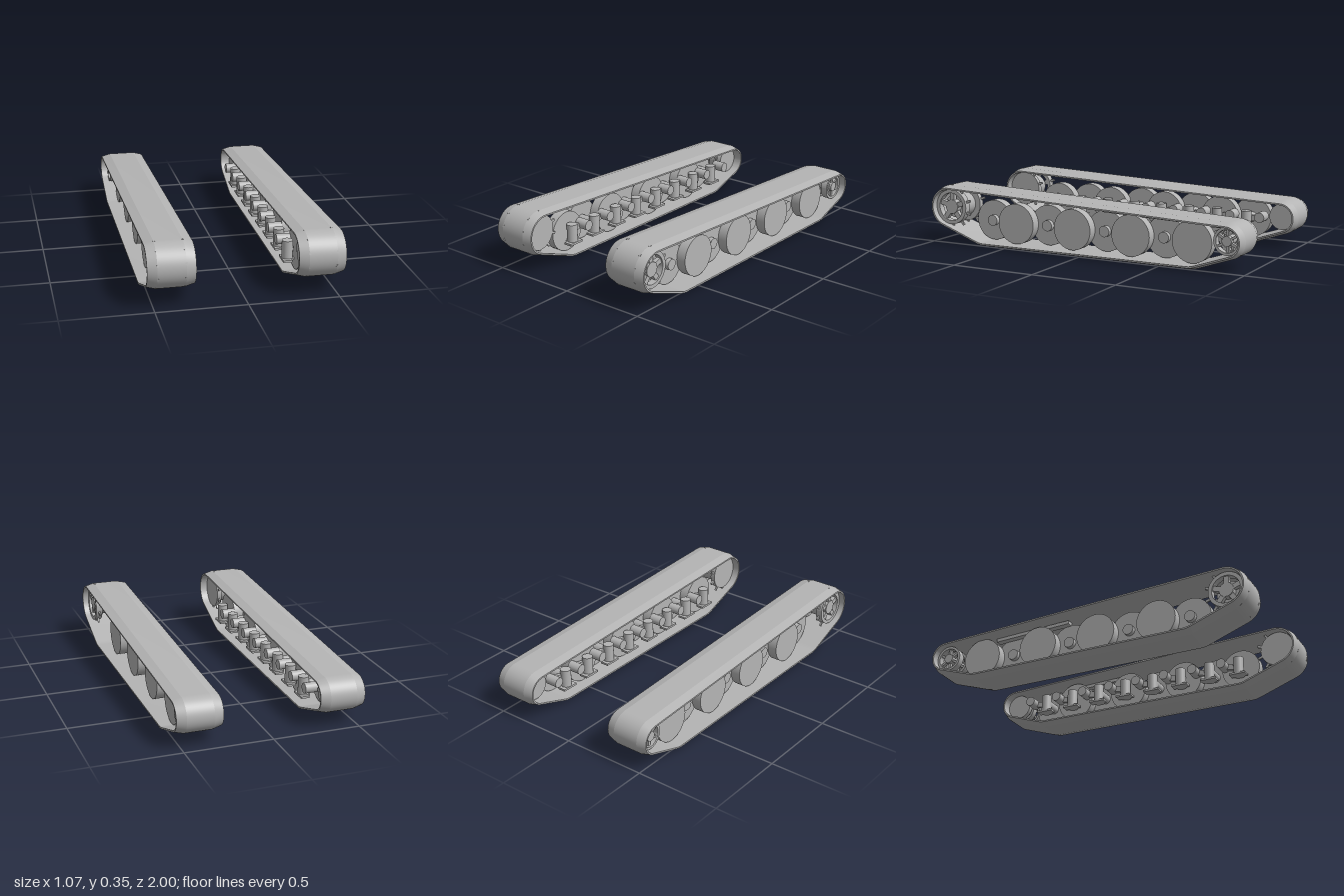
import * as THREE from 'three';
import { toCreasedNormals } from 'three/addons/utils/BufferGeometryUtils.js';

const grey = new THREE.MeshStandardMaterial({ color: 0xb4b4b4 });
grey.name = 'plain grey';

const WHEELS = [0.627, 0.44, 0.252, 0.065, -0.122, -0.307, -0.493, -0.68];
const WHEEL_Y = 0.147;

// Closed loop around circles [z, y, r], joined by outer tangents
function beltPath(circles) {
  const n = circles.length;
  const normals = circles.map(([z, y, r], i) => {
    const [z2, y2, r2] = circles[(i + 1) % n];
    const dz = z2 - z, dy = y2 - y;
    return Math.atan2(dy, dz) - Math.acos((r - r2) / Math.hypot(dz, dy));
  });
  const path = [];
  circles.forEach(([z, y, r], i) => {
    const start = normals[(i + n - 1) % n];
    let sweep = (normals[i] - start) % (Math.PI * 2);
    if (sweep < 0) sweep += Math.PI * 2;
    const steps = Math.max(3, Math.ceil(sweep / 0.12));
    for (let k = 0; k <= steps; k++) {
      const a = start + (sweep * k) / steps;
      path.push({ z: z + r * Math.cos(a), y: y + r * Math.sin(a), nz: Math.cos(a), ny: Math.sin(a) });
    }
  });
  return path;
}

// Belt: a chamfered cross-section [x, inset] swept round the path
function beltGeometry() {
  const path = beltPath([[0.87, 0.22, 0.13], [-0.898, 0.175, 0.101], [-0.68, WHEEL_Y, 0.145], [0.627, WHEEL_Y, 0.145]]);
  const profile = [[-0.13, 0.014], [-0.077, 0], [0.077, 0], [0.13, 0.014], [0.13, 0.023], [-0.13, 0.023]];
  const pos = [], index = [], m = profile.length, n = path.length;
  for (const p of path) {
    for (const [x, d] of profile) pos.push(x, p.y - p.ny * d, p.z - p.nz * d);
  }
  for (let i = 0; i < n; i++) {
    for (let j = 0; j < m; j++) {
      const a = i * m + j, b = i * m + ((j + 1) % m);
      const c = ((i + 1) % n) * m + j, d = ((i + 1) % n) * m + ((j + 1) % m);
      index.push(a, b, c, b, d, c);
    }
  }
  const g = new THREE.BufferGeometry();
  g.setAttribute('position', new THREE.Float32BufferAttribute(pos, 3));
  g.setIndex(index);
  // Make sure the top run faces outwards
  const v = (k) => new THREE.Vector3().fromArray(pos, k * 3);
  const e = v(2).sub(v(1)).cross(v(m + 1).sub(v(1)));
  if (e.y * path[0].ny + e.z * path[0].nz < 0) g.setIndex(index.reverse());
  return toCreasedNormals(g, 0.2);
}

function add(parent, name, geometry, x, y, z) {
  const mesh = new THREE.Mesh(geometry, grey);
  mesh.name = name;
  mesh.position.set(x, y, z);
  parent.add(mesh);
  return mesh;
}

// Cylinder lying along x
const axle = (r, w, seg = 40) => new THREE.CylinderGeometry(r, r, w, seg).rotateZ(Math.PI / 2);

// Flat ring with its axis along x
function ring(outer, inner, w) {
  const s = new THREE.Shape().absarc(0, 0, outer, 0, Math.PI * 2);
  s.holes.push(new THREE.Path().absarc(0, 0, inner, 0, Math.PI * 2, true));
  const g = new THREE.ExtrudeGeometry(s, { depth: w, bevelEnabled: false, curveSegments: 40 });
  return toCreasedNormals(g.translate(0, 0, -w / 2).rotateY(Math.PI / 2), 0.5);
}

// Bars arranged radially in a wheel plane
function radial(parent, name, count, r0, r1, w, t, x, y, z) {
  for (let i = 0; i < count; i++) {
    const a = (i / count) * Math.PI * 2;
    const g = new THREE.BoxGeometry(t, r1 - r0, w).translate(0, (r0 + r1) / 2, 0).rotateX(a);
    add(parent, name, g, x, y, z);
  }
}

function trackUnit(s, name) {
  const unit = new THREE.Group();
  unit.name = name;
  add(unit, 'trackBelt', beltGeometry(), s * 0.405, 0, 0);

  // Drive sprocket
  const sy = 0.22, sz = 0.87;
  add(unit, 'sprocketInnerDisc', axle(0.104, 0.03), s * 0.335, sy, sz);
  add(unit, 'sprocketDrum', axle(0.07, 0.11), s * 0.4, sy, sz);
  add(unit, 'sprocketRim', ring(0.104, 0.082, 0.04), s * 0.48, sy, sz);
  add(unit, 'sprocketHub', axle(0.042, 0.04), s * 0.475, sy, sz);
  radial(unit, 'sprocketSpoke', 5, 0.03, 0.09, 0.03, 0.025, s * 0.478, sy, sz);
  for (const x of [0.33, 0.48]) radial(unit, 'sprocketTooth', 10, 0.1, 0.1305, 0.014, 0.01, s * x, sy, sz);

  // Idler wheel
  const iy = 0.175, iz = -0.895;
  add(unit, 'idlerInnerDisc', axle(0.077, 0.03), s * 0.345, iy, iz);
  add(unit, 'idlerAxle', axle(0.025, 0.13), s * 0.415, iy, iz);
  for (const x of [0.4, 0.475]) {
    add(unit, 'idlerRim', ring(0.077, 0.062, 0.04), s * x, iy, iz);
    radial(unit, 'idlerSpoke', 6, 0.015, 0.066, 0.014, 0.02, s * x, iy, iz);
  }
  add(unit, 'idlerHub', axle(0.028, 0.035), s * 0.48, iy, iz);

  // Overlapping road wheels with their suspension
  WHEELS.forEach((z, i) => {
    const outer = i % 2 === 1;
    add(unit, 'roadWheel', axle(0.118, 0.058, 48), s * (outer ? 0.437 : 0.375), WHEEL_Y, z);
    if (outer) add(unit, 'wheelAxle', axle(0.03, 0.1, 24), s * 0.36, WHEEL_Y, z);
    else add(unit, 'wheelHub', axle(0.032, 0.03, 24), s * 0.415, WHEEL_Y, z);

    // Pivot tube, upright damper with its flange, and swing arm
    add(unit, 'pivotTube', axle(0.03, 0.08, 24), s * 0.305, 0.17, z - 0.098);
    add(unit, 'damper', new THREE.CylinderGeometry(0.031, 0.031, 0.115, 24), s * 0.306, 0.143, z);
    add(unit, 'damperFlange', new THREE.CylinderGeometry(0.036, 0.036, 0.012, 24), s * 0.308, 0.091, z);
    add(unit, 'flangePlate', new THREE.BoxGeometry(0.05, 0.012, 0.1), s * 0.298, 0.091, z);
    const arm = add(unit, 'swingArm', new THREE.BoxGeometry(0.022, 0.035, 0.11), s * 0.328, 0.158, z - 0.049);
    arm.rotation.x = 0.23;
  });

  // Guide rail under the upper run
  const rail = add(unit, 'guideRail', new THREE.BoxGeometry(0.04, 0.02, 0.48), s * 0.42, 0.262, -0.36);
  rail.rotation.x = -0.035;
  return unit;
}

export function createModel() {
  const model = new THREE.Group();
  model.name = 'trackAssembly';
  model.add(trackUnit(1, 'leftTrack'), trackUnit(-1, 'rightTrack'));
  return model;
}
